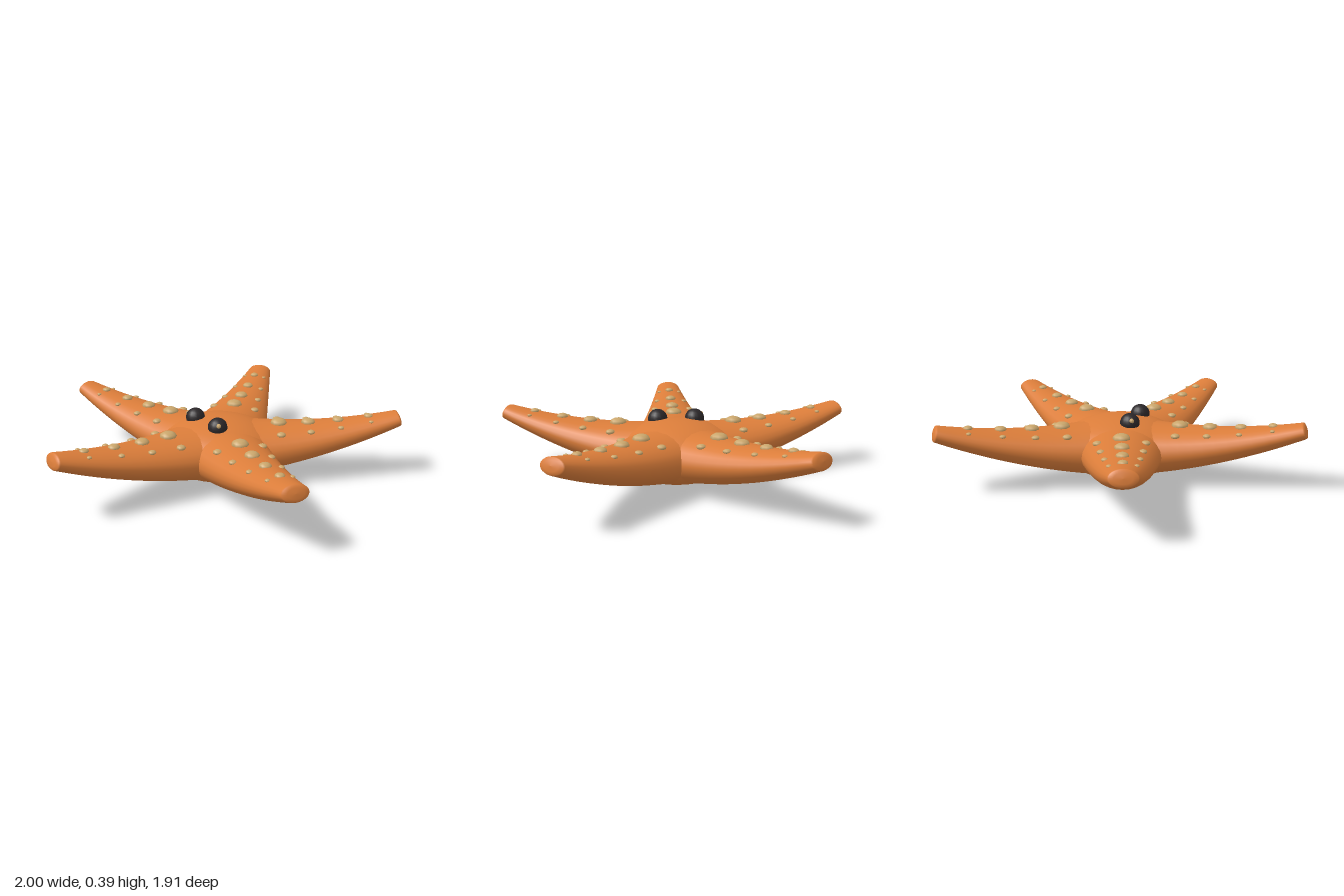
import * as THREE from 'three';

const CENTRE_Z = -0.085; // hub of the five arms
const LENGTH = 1.02;

// Arm cross-section rule: an ellipse carried along an upward curve.
const halfWidth = (r) => 0.272 - 0.196 * r;
const FLATNESS = 0.6;

// Point on an arm pointing along +z: r along the arm, t around it (0 = top).
function armPoint(r, t, scale = 1, push = 0) {
  const slope = 2 * 0.158 * r;
  const n = Math.hypot(1, slope);
  const w = halfWidth(r) * scale;
  const h = w * FLATNESS * Math.cos(t);
  return new THREE.Vector3(
    w * Math.sin(t),
    0.17 + 0.158 * r * r + (h + push * slope) / n,
    r + (push - h * slope) / n
  );
}

function armGeometry() {
  const sides = 24, steps = 16;
  const rings = [];
  for (let i = 0; i <= steps; i++) rings.push([(LENGTH * i) / steps, 1, 0]);
  // Shallow rounded tip
  rings.push([LENGTH, 0.93, 0.008], [LENGTH, 0.6, 0.013], [LENGTH, 0.001, 0.015]);

  const positions = [], index = [];
  rings.forEach(([r, scale, push], i) => {
    for (let j = 0; j < sides; j++) {
      positions.push(...armPoint(r, (j / sides) * Math.PI * 2, scale, push).toArray());
      if (i === rings.length - 1) continue;
      const a = i * sides + j, b = i * sides + ((j + 1) % sides);
      index.push(a, a + sides, b, b, a + sides, b + sides);
    }
  });
  const g = new THREE.BufferGeometry();
  g.setAttribute('position', new THREE.Float32BufferAttribute(positions, 3));
  g.setIndex(index);
  g.computeVertexNormals();
  return g;
}

export function createModel() {
  const skin = new THREE.MeshStandardMaterial({ color: 0xdb7d3a });
  skin.name = 'orange skin';
  const tan = new THREE.MeshStandardMaterial({ color: 0xcaa66c });
  tan.name = 'tan bumps';
  const dark = new THREE.MeshStandardMaterial({ color: 0x2b2729 });
  dark.name = 'dark eyes';

  const model = new THREE.Group();
  model.name = 'starfish';

  const add = (parent, name, geometry, material, position, scale) => {
    const mesh = new THREE.Mesh(geometry, material);
    mesh.name = name;
    if (position) mesh.position.copy(position);
    if (scale) mesh.scale.set(...scale);
    parent.add(mesh);
    return mesh;
  };

  // Central body
  add(model, 'body', new THREE.SphereGeometry(1, 32, 20), skin,
    new THREE.Vector3(0, 0.172, CENTRE_Z), [0.35, 0.172, 0.35]);

  // Five arms, each with four rows of three bumps
  const armGeo = armGeometry();
  const bumpGeo = new THREE.SphereGeometry(1, 9, 6);
  for (let k = 0; k < 5; k++) {
    const arm = new THREE.Group();
    arm.name = 'arm' + (k + 1);
    arm.position.z = CENTRE_Z;
    arm.rotation.y = (k * Math.PI * 2) / 5;
    add(arm, 'armSkin', armGeo, skin);
    for (let i = 0; i < 4; i++) {
      const r = 0.358 + 0.171 * i;
      for (const side of [-1, 0, 1]) {
        const size = side ? 0.026 - 0.004 * i : 0.048 - 0.0073 * i;
        add(arm, side ? 'sideBump' : 'middleBump', bumpGeo, tan,
          armPoint(r, side * 0.68), [size, size * 0.55, size]);
      }
    }
    model.add(arm);
  }

  // Eyes with small glints
  const eyeGeo = new THREE.SphereGeometry(0.055, 16, 12);
  const glintGeo = new THREE.SphereGeometry(0.014, 8, 6);
  for (const side of [-1, 1]) {
    const name = side > 0 ? 'left' : 'right';
    add(model, name + 'Eye', eyeGeo, dark, new THREE.Vector3(side * 0.104, 0.333, 0));
    add(model, name + 'EyeGlint', glintGeo, tan, new THREE.Vector3(side * 0.142, 0.355, 0.022));
  }
  return model;
}
